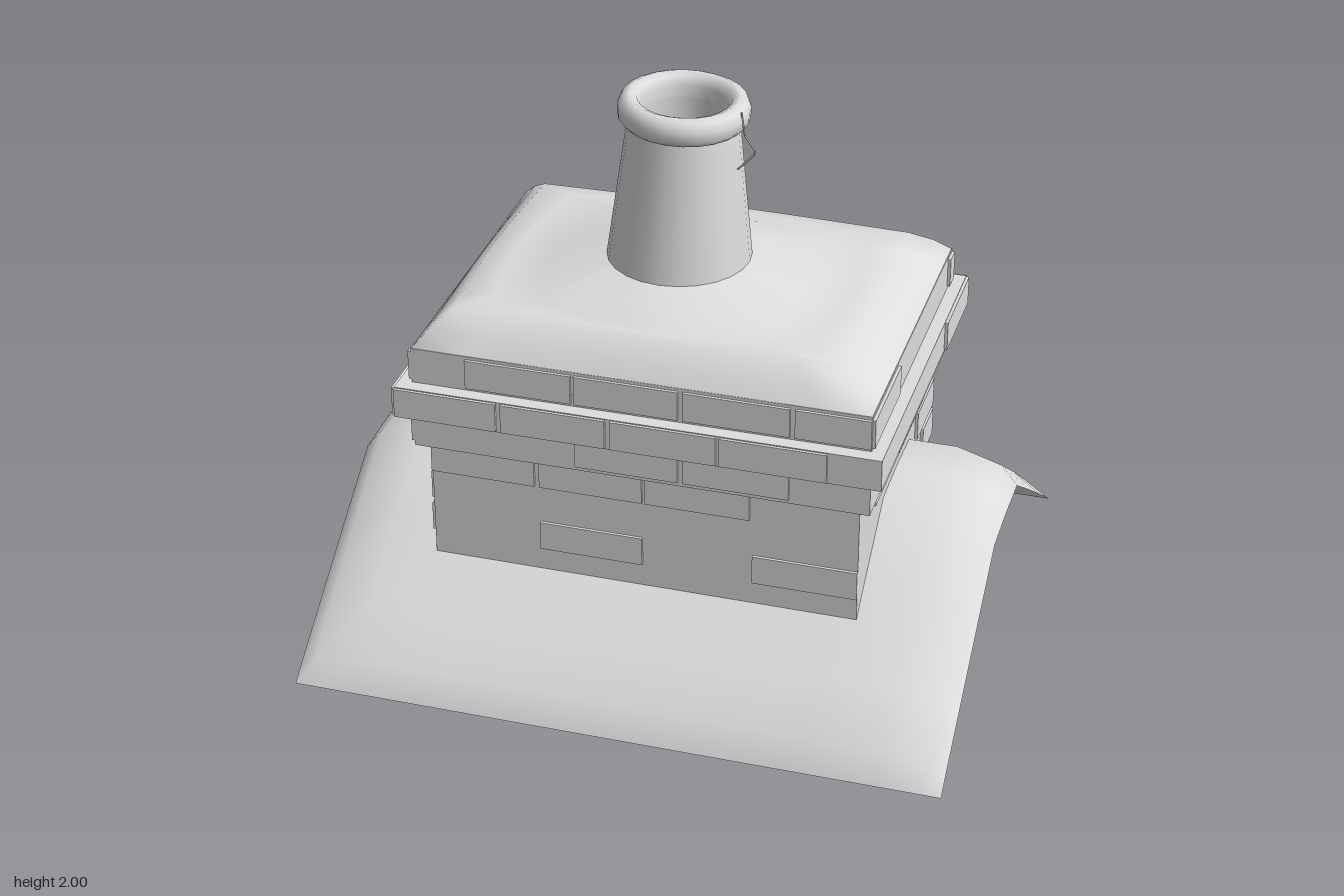
import * as THREE from 'three';
import { mergeVertices } from 'three/addons/utils/BufferGeometryUtils.js';

// Smooth surface through rows of [x, y, z] points
function grid(rows) {
  const n = rows[0].length, index = [];
  for (let i = 0; i < rows.length - 1; i++) {
    for (let j = 0; j < n - 1; j++) {
      const a = i * n + j, b = a + n;
      index.push(a, a + 1, b, a + 1, b + 1, b);
    }
  }
  const raw = new THREE.BufferGeometry();
  raw.setAttribute('position', new THREE.Float32BufferAttribute(rows.flat(2), 3));
  raw.setIndex(index);
  const geo = mergeVertices(raw, 1e-5);
  geo.computeVertexNormals();
  return geo;
}

export function createModel() {
  const model = new THREE.Group();
  model.name = 'chimney';
  const stone = new THREE.MeshStandardMaterial({ color: 0xdedede, side: THREE.DoubleSide });
  stone.name = 'light grey';

  function add(name, geo, parent = model) {
    const mesh = new THREE.Mesh(geo, stone);
    mesh.name = name;
    parent.add(mesh);
    return mesh;
  }
  function block(name, hx, hz, y0, y1) {
    add(name, new THREE.BoxGeometry(hx * 2, y1 - y0, hz * 2)).position.y = (y0 + y1) / 2;
  }

  // Shaft of four walls, open underneath
  for (let k = 0; k < 4; k++) {
    const [halfWidth, out] = k % 2 ? [0.485, 0.65] : [0.65, 0.485];
    const wall = add('shaftWall', new THREE.PlaneGeometry(halfWidth * 2, 0.985));
    wall.rotation.y = k * Math.PI / 2;
    wall.position.set(Math.sin(wall.rotation.y) * out, 0.4925, Math.cos(wall.rotation.y) * out);
  }

  // Stepped courses
  block('lowerCourse', 0.687, 0.522, 0.985, 1.1);
  block('wideCourse', 0.727, 0.565, 1.1, 1.2);
  block('upperCourse', 0.687, 0.522, 1.2, 1.312);

  // Roof saddle: one sheet whose ends dip to a straight-sided rim
  const half = [[0.825, 0.27, 0], [0.78, 0.304, 0.06], [0.63, 0.407, 0.078],
    [0.4, 0.565, 0.095], [0.17, 0.72, 0.107]];
  const profile = [...half.map(([z, y, l]) => [-z, y, l]), [0, 0.726, 0.108],
    ...half.slice().reverse()];
  const stations = [[-0.99, 0], [-0.94, 0.6], [-0.8, 1], [-0.6, 1], [0, 1],
    [0.6, 1], [0.8, 1], [0.94, 0.6], [0.99, 0]];
  add('roof', grid(stations.map(([x, t]) => profile.map(([z, y, l]) => [x, y + l * t, z]))));

  // Mortar cap: rectangle at the courses, rounding off towards the pot
  const rings = [[0.687, 0.522, 1.31, 0], [0.65, 0.485, 1.36, 0.05], [0.6, 0.43, 1.41, 0.12],
    [0.52, 0.4, 1.414, 0.3], [0.4, 0.37, 1.42, 0.6], [0.24, 0.25, 1.48, 1], [0, 0, 1.487, 1]];
  add('mortarCap', grid(rings.map(([hx, hz, y, round], k) => {
    const ring = [], shift = k / (rings.length - 1);
    for (let j = 0; j <= 48; j++) {
      const a = (j % 48) / 48 * Math.PI * 2, s = Math.sin(a), c = Math.cos(a);
      const f = THREE.MathUtils.lerp(1 / Math.max(Math.abs(s), Math.abs(c)), 1, round);
      ring.push([s * f * hx - 0.02 * shift, y, c * f * hz + 0.035 * shift]);
    }
    return ring;
  })));

  // Hollow pot with a rolled rim, leaning slightly
  const pot = new THREE.Group();
  pot.name = 'pot';
  pot.position.set(-0.018, 1.45, 0.038);
  pot.rotation.z = -0.03;
  model.add(pot);
  const line = (pts) => pts.map(([r, y]) => new THREE.Vector2(r, y));
  add('potWall', new THREE.LatheGeometry(line([[0.217, 0], [0.213, 0.04], [0.16, 0.49]]), 24), pot);
  add('potRim', new THREE.LatheGeometry(line([[0.155, 0.462], [0.178, 0.463], [0.192, 0.48], [0.193, 0.51],
    [0.182, 0.535], [0.16, 0.545], [0.138, 0.535], [0.128, 0.51], [0.127, 0.47]]), 24), pot);
  add('potInside', new THREE.LatheGeometry(line([[0.127, 0.475], [0.14, 0.02]]), 24), pot);

  // Thin bent wire beside the rim
  const bends = [[0.18, 1.98], [0.19, 1.91], [0.225, 1.86], [0.17, 1.8]]
    .map(([x, y]) => new THREE.Vector3(x, y, 0.085));
  const wire = new THREE.CurvePath();
  for (let i = 0; i < 3; i++) wire.add(new THREE.LineCurve3(bends[i], bends[i + 1]));
  add('wire', new THREE.TubeGeometry(wire, 12, 0.003, 4));

  // Raised bricks: each row is [bottom, x half depth, z half depth]
  const rows = [[1.21, 0.687, 0.522], [1.105, 0.727, 0.565], [1.0, 0.687, 0.522],
    [0.885, 0.65, 0.485], [0.78, 0.65, 0.485], [0.67, 0.65, 0.485]];
  // Spans run left to right as seen facing each wall
  const front = [
    [[-0.52, -0.2], [-0.19, 0.12], [0.135, 0.45], [0.465, 0.687]],
    [[-0.727, -0.415], [-0.4, -0.085], [-0.07, 0.245], [0.255, 0.57]],
    [[-0.19, 0.12], [0.135, 0.45]],
    [[-0.65, -0.33], [-0.315, 0], [0.01, 0.325]],
    [],
    [[-0.315, 0], [0.335, 0.65]]];
  const back = [
    [[-0.687, -0.49], [0.2, 0.5], [0.515, 0.687]],
    [[-0.727, -0.4], [-0.385, -0.07], [0.2, 0.51]],
    [[-0.5, -0.19], [0.3, 0.61]],
    [[-0.6, -0.45], [-0.42, -0.1], [0.45, 0.65]],
    [[-0.42, -0.1]],
    [[0.335, 0.65]]];
  const side = [
    [[-0.522, -0.205], [0.465, 0.522]],
    [[0.26, 0.565]],
    [[-0.19, 0.12], [0.135, 0.45], [0.465, 0.522]],
    [[-0.315, -0.005], [0.005, 0.325]],
    [[0.25, 0.475]],
    [[0.34, 0.48]]];
  [['front', front], ['left', side], ['back', back], ['right', side]].forEach(([label, spans], k) => {
    const wall = new THREE.Group();
    wall.name = label + 'Bricks';
    wall.rotation.y = k * Math.PI / 2;
    model.add(wall);
    rows.forEach(([y, hx, hz], r) => spans[r].forEach(([a, b]) => {
      const brick = add('brick', new THREE.BoxGeometry(b - a, 0.092, 0.0095), wall);
      brick.position.set((a + b) / 2, y + 0.046, (k % 2 ? hx : hz) + 0.0045);
    }));
  });

  return model;
}
